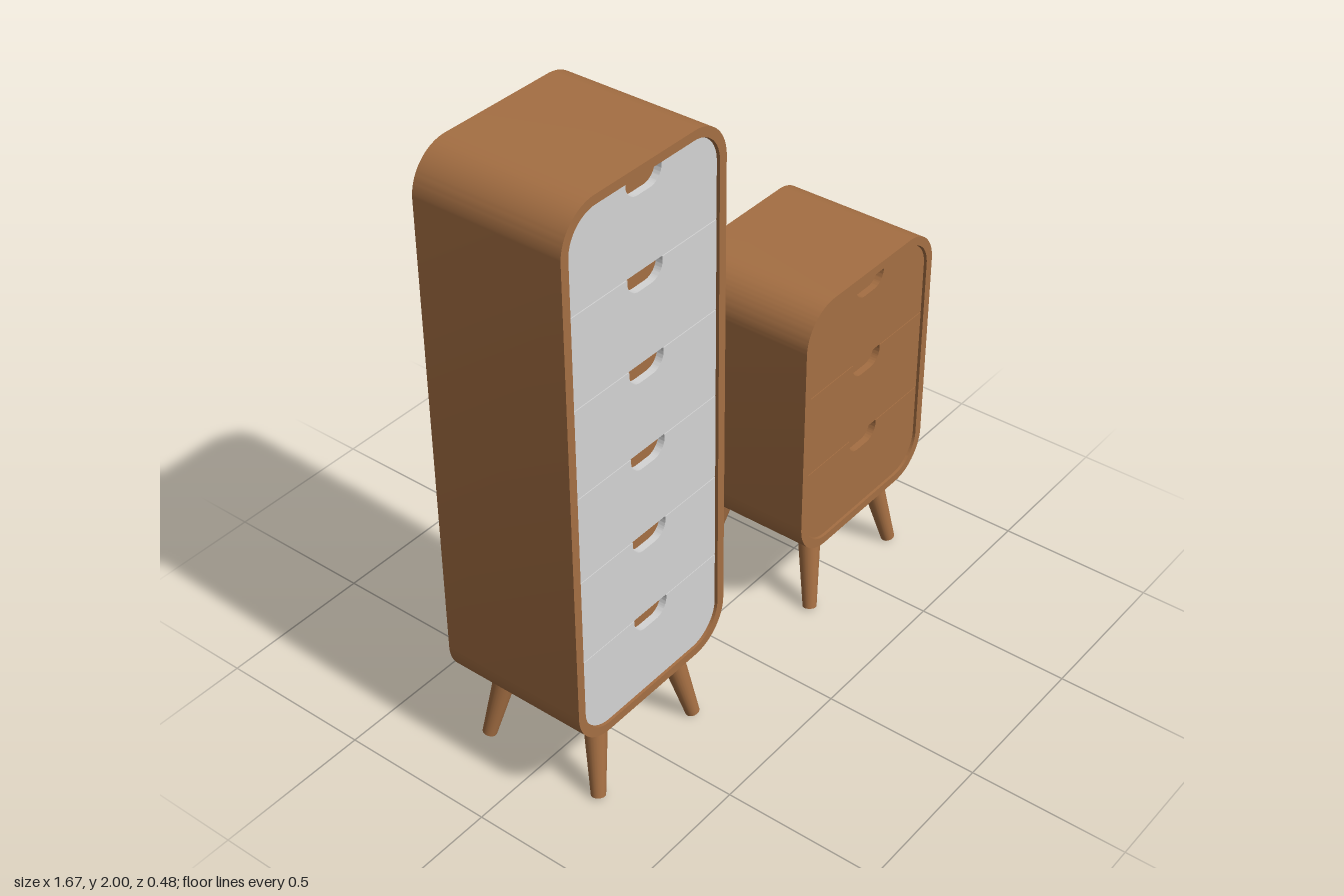
import * as THREE from 'three';
import { toCreasedNormals } from 'three/addons/utils/BufferGeometryUtils.js';

const brown = new THREE.MeshStandardMaterial({ color: 0xa56f43 });
brown.name = 'walnut brown';
const grey = new THREE.MeshStandardMaterial({ color: 0xd4d4d4 });
grey.name = 'light grey';

const DEPTH = 0.48, WALL = 0.028, RADIUS = 0.13, BASE = 0.265;
const PITCH = 0.28, GAP = 0.003;

// Outline with separate bottom and top corner radii and an optional finger notch in the top edge
function outline(Type, x0, x1, y0, y1, rBottom, rTop, notch = false) {
  const s = new Type();
  s.moveTo(x0 + rBottom, y0);
  s.lineTo(x1 - rBottom, y0);
  if (rBottom) s.absarc(x1 - rBottom, y0 + rBottom, rBottom, -Math.PI / 2, 0, false);
  s.lineTo(x1, y1 - rTop);
  if (rTop) s.absarc(x1 - rTop, y1 - rTop, rTop, 0, Math.PI / 2, false);
  if (notch) {
    const c = (x0 + x1) / 2, w = 0.07, d = 0.056, r = 0.046;
    s.lineTo(c + w, y1);
    s.lineTo(c + w, y1 - d + r);
    s.absarc(c + w - r, y1 - d + r, r, 0, -Math.PI / 2, true);
    s.lineTo(c - w + r, y1 - d);
    s.absarc(c - w + r, y1 - d + r, r, -Math.PI / 2, -Math.PI, true);
    s.lineTo(c - w, y1);
  }
  s.lineTo(x0 + rTop, y1);
  if (rTop) s.absarc(x0 + rTop, y1 - rTop, rTop, Math.PI / 2, Math.PI, false);
  s.lineTo(x0, y0 + rBottom);
  if (rBottom) s.absarc(x0 + rBottom, y0 + rBottom, rBottom, Math.PI, Math.PI * 1.5, false);
  return s;
}

// Extrude an outline from zBack to zFront
function slab(name, shape, zBack, zFront, material) {
  const g = new THREE.ExtrudeGeometry(shape, {
    depth: zFront - zBack, bevelEnabled: false, curveSegments: 14,
  });
  g.translate(0, 0, zBack);
  const mesh = new THREE.Mesh(toCreasedNormals(g, 0.6), material);
  mesh.name = name;
  return mesh;
}

// Tapered leg between two points
function leg(top, bottom) {
  const axis = top.clone().sub(bottom);
  const mesh = new THREE.Mesh(new THREE.CylinderGeometry(0.038, 0.022, axis.length(), 24), brown);
  mesh.position.copy(top).add(bottom).multiplyScalar(0.5);
  mesh.quaternion.setFromUnitVectors(new THREE.Vector3(0, 1, 0), axis.normalize());
  mesh.name = 'leg';
  return mesh;
}

function cabinet(name, width, top, drawers, frontMaterial) {
  const group = new THREE.Group();
  group.name = name;
  const h = width / 2, ix = h - WALL, iy0 = BASE + WALL, iy1 = top - WALL;
  const ir = RADIUS - WALL + 0.003, half = DEPTH / 2;

  // Rounded open shell
  const shell = outline(THREE.Shape, -h, h, BASE, top, RADIUS, RADIUS);
  shell.holes.push(outline(THREE.Path, -ix, ix, iy0, iy1, ir, ir));
  group.add(slab('shell', shell, -half, half, brown));

  // Recessed back panel and the inner panel seen through the notches
  const inner = () => outline(THREE.Shape, -ix, ix, iy0, iy1, ir, ir);
  group.add(slab('backPanel', inner(), -half + 0.012, -half + 0.03, brown));
  group.add(slab('innerPanel', inner(), half - 0.07, half - 0.06, brown));

  // Stacked drawer fronts; the end ones follow the shell corners
  const step = (iy1 - iy0) / drawers;
  for (let i = 0; i < drawers; i++) {
    const y0 = iy0 + i * step + GAP / 2, y1 = iy0 + (i + 1) * step - GAP / 2;
    const shape = outline(THREE.Shape, -ix + GAP, ix - GAP, y0, y1,
      i === 0 ? ir : 0, i === drawers - 1 ? ir : 0, true);
    group.add(slab('drawerFront', shape, half - 0.03, half - 0.008, frontMaterial));
  }

  // Splayed legs
  for (const sx of [-1, 1]) for (const sz of [-1, 1]) {
    group.add(leg(new THREE.Vector3(sx * 0.163, BASE + 0.015, sz * 0.158),
      new THREE.Vector3(sx * 0.217, 0.005, sz * 0.208)));
  }
  return group;
}

export function createModel() {
  const model = new THREE.Group();
  model.name = 'drawerCabinets';
  const tall = cabinet('tallCabinet', 0.645, 2, 6, grey);
  tall.position.x = -0.517;
  const small = cabinet('smallCabinet', 0.645, BASE + 2 * WALL + 3 * PITCH + 0.004, 3, brown);
  small.position.x = 0.513;
  model.add(tall, small);
  return model;
}
